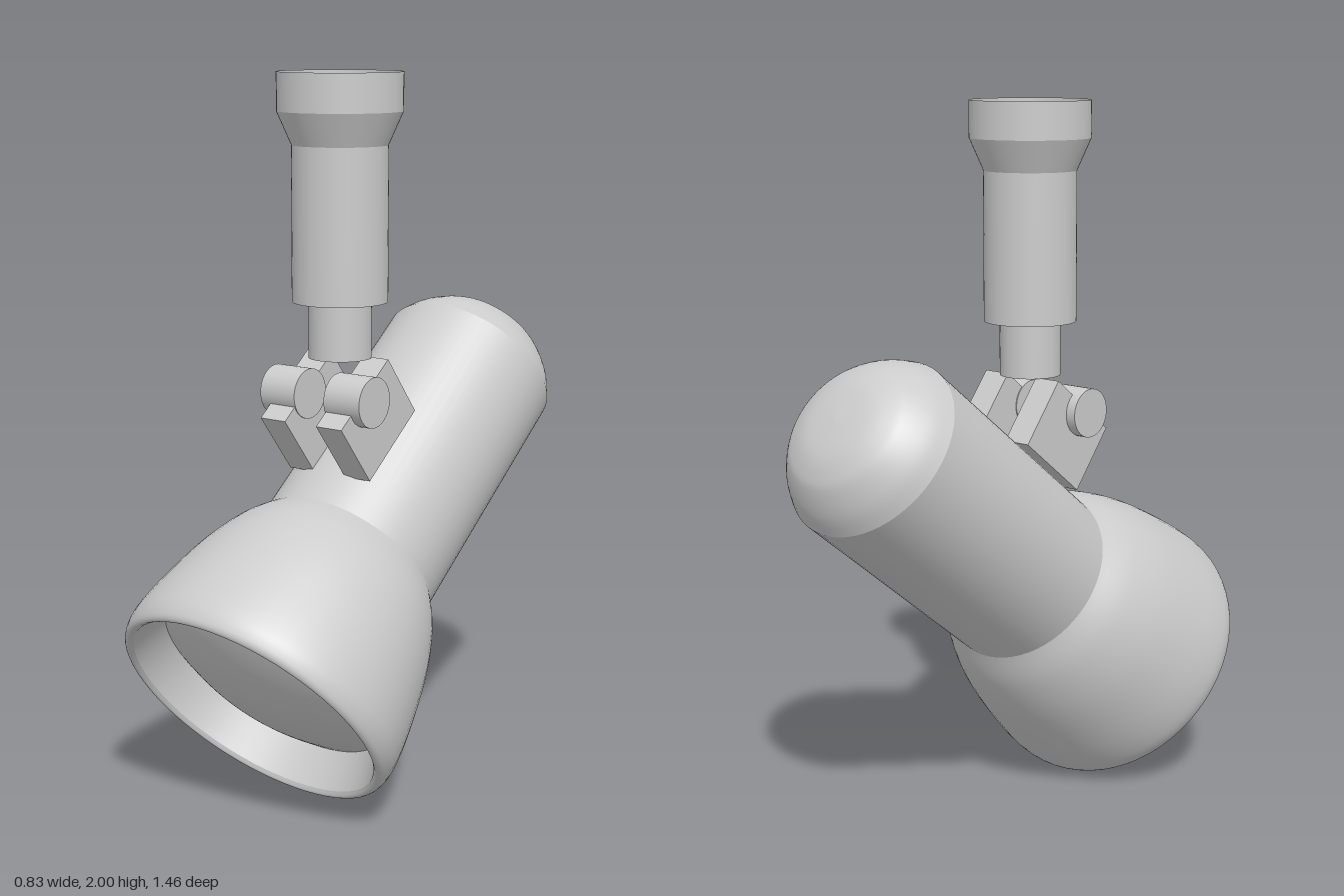
import * as THREE from 'three';

const material = new THREE.MeshStandardMaterial({ color: 0xcccccc, side: THREE.DoubleSide });

function add(parent, name, geometry) {
  const mesh = new THREE.Mesh(geometry, material);
  mesh.name = name;
  parent.add(mesh);
  return mesh;
}

// Smooth surface of revolution; each [radius, height] list runs from bottom to top
function turned(parent, name, points) {
  return add(parent, name, new THREE.LatheGeometry(points.map(([r, y]) => new THREE.Vector2(r, y)), 64));
}

// Rounds a sparse profile into a smooth one
function smoothProfile(points, count = 24) {
  const curve = new THREE.SplineCurve(points.map(([r, y]) => new THREE.Vector2(r, y)));
  return curve.getPoints(count).map((p) => [Math.max(0, p.x), p.y]);
}

export function createModel() {
  const model = new THREE.Group();
  model.name = 'spotlight';

  // Ceiling stem: separate bands keep the edges crisp
  const stem = new THREE.Group();
  stem.name = 'stem';
  stem.position.set(0.045, 0, 0.1);
  model.add(stem);
  const stemBands = {
    pinEnd: [[0, 1.225], [0.087, 1.225]],
    pin: [[0.087, 1.225], [0.087, 1.38]],
    tubeEnd: [[0.087, 1.38], [0.132, 1.38]],
    tube: [[0.132, 1.38], [0.132, 1.805]],
    collarTaper: [[0.132, 1.805], [0.172, 1.895]],
    collar: [[0.172, 1.895], [0.172, 2]],
    collarFloor: [[0.132, 1.805], [0, 1.805]],
  };
  for (const [name, points] of Object.entries(stemBands)) turned(stem, name, points);

  // Lamp head: local y runs along the housing, local z towards the bracket
  const head = new THREE.Group();
  head.name = 'lampHead';
  head.position.set(0.045, 0.64, 0.065);
  head.rotation.set(-0.905, -0.164, 0, 'YXZ');
  model.add(head);

  turned(head, 'housing', [[0.267, 0], [0.267, 0.76]]);
  turned(head, 'housingCap', smoothProfile([[0.267, 0.76], [0.24, 0.812], [0.2, 0.86], [0.165, 0.886], [0.1, 0.91], [0, 0.918]]));

  // Flared shade with a rounded lip and a conical inner wall
  turned(head, 'shade', smoothProfile([
    [0.374, -0.53], [0.388, -0.541], [0.404, -0.525], [0.412, -0.475], [0.4, -0.37],
    [0.366, -0.21], [0.32, -0.085], [0.267, 0],
  ], 48));
  turned(head, 'shadeInnerWall', [[0.34, -0.42], [0.358, -0.475], [0.374, -0.53]]);
  turned(head, 'lens', smoothProfile([[0, -0.5], [0.12, -0.49], [0.24, -0.462], [0.34, -0.42]]));

  // Bracket: a pair of plates, each with a round pivot knob
  for (const side of [-1, 1]) {
    const label = side > 0 ? 'left' : 'right';
    const plate = add(head, label + 'BracketPlate', new THREE.BoxGeometry(0.086, 0.266, 0.207));
    plate.position.set(side * 0.097, 0.235, 0.354);
    const knob = add(head, label + 'PivotKnob', new THREE.CylinderGeometry(0.07, 0.07, 0.12, 32));
    knob.rotation.z = Math.PI / 2;
    knob.position.set(side * 0.111, 0.224, 0.441);
  }

  return model;
}
